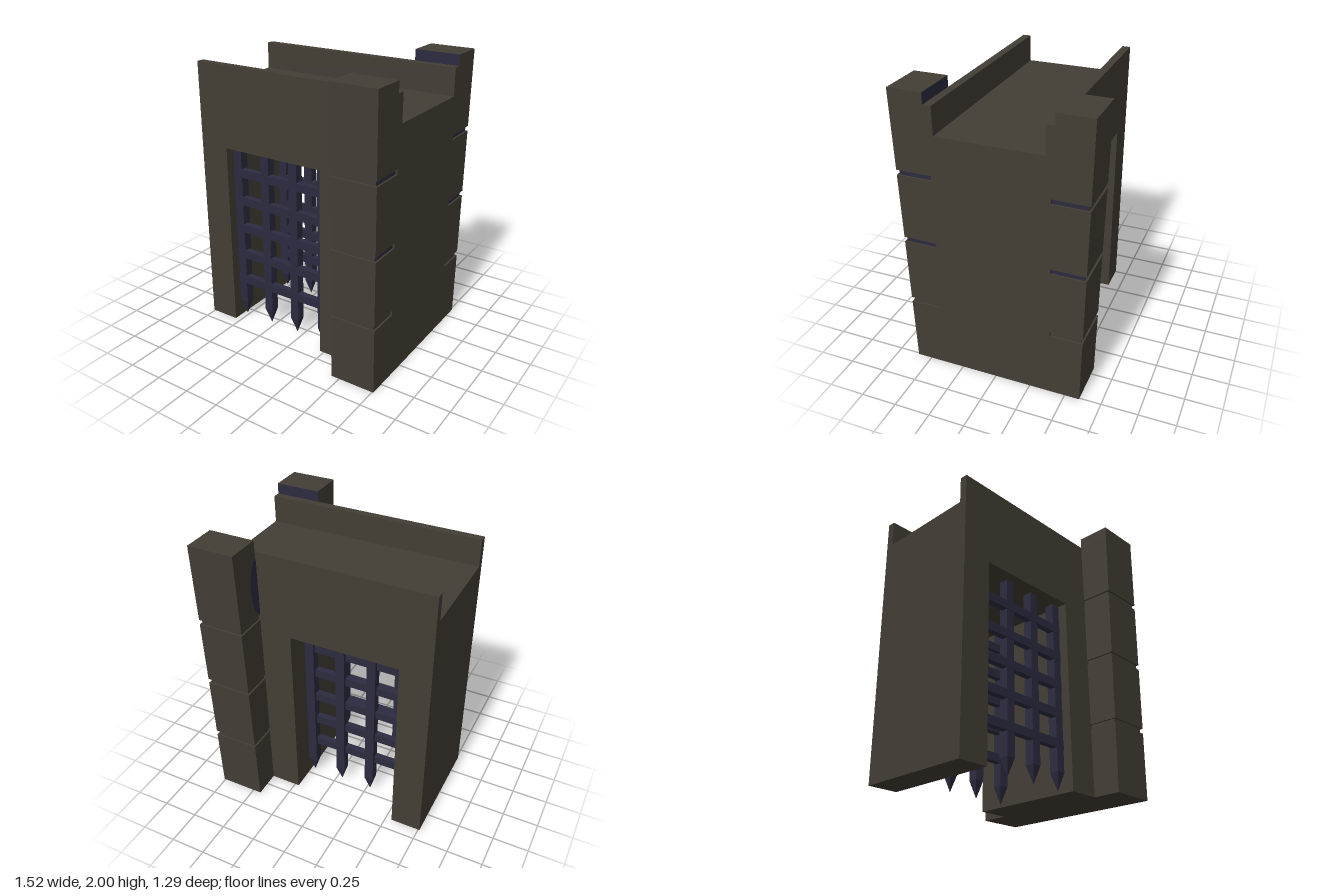
import * as THREE from 'three';

export function createModel() {
  const model = new THREE.Group();
  model.name = 'gatehouse';
  const stone = new THREE.MeshStandardMaterial({ color: 0x433d34 });
  stone.name = 'brown stone';
  const iron = new THREE.MeshStandardMaterial({ color: 0x2c2b40 });
  iron.name = 'blue iron';

  const add = (parent, name, geometry, material) => {
    const mesh = new THREE.Mesh(geometry, material);
    mesh.name = name;
    parent.add(mesh);
    return mesh;
  };
  // Box given by its two opposite corners
  const box = (x0, x1, y0, y1, z0, z1) =>
    new THREE.BoxGeometry(x1 - x0, y1 - y0, z1 - z0)
      .translate((x0 + x1) / 2, (y0 + y1) / 2, (z0 + z1) / 2);

  // Wall block with the gate opening cut through it
  const wall = new THREE.Shape([
    [-0.76, 0], [-0.545, 0], [-0.545, 1.35], [0.22, 1.35],
    [0.22, 0], [0.745, 0], [0.745, 1.735], [-0.76, 1.735],
  ].map(([x, y]) => new THREE.Vector2(x, y)));
  add(model, 'gateWall',
    new THREE.ExtrudeGeometry(wall, { depth: 0.82, bevelEnabled: false }).translate(0, 0, -0.41), stone);
  add(model, 'endWall', box(0.745, 0.76, 0, 1.735, -0.39, 0.39), stone);

  // Pier section whose outer face leans outward with height
  const section = (s, x0, x1, y0, y1, inner, inset = 0) => {
    const g = box(x0, x1, y0, y1, Math.min(s * inner, s * 0.6), Math.max(s * inner, s * 0.6));
    const p = g.attributes.position;
    for (let i = 0; i < p.count; i++) {
      if (Math.abs(p.getZ(i)) > 0.5) p.setZ(i, s * (0.602 + 0.021 * p.getY(i) - inset));
    }
    g.computeVertexNormals();
    return g;
  };

  for (const s of [1, -1]) {
    const side = s > 0 ? 'front' : 'back';
    add(model, side + 'Parapet',
      box(-0.76, 0.76, 1.735, 1.925, Math.min(s * 0.355, s * 0.41), Math.max(s * 0.355, s * 0.41)), stone);

    // Pier: four blocks separated by shallow grooves
    const pier = new THREE.Group();
    pier.name = side + 'Pier';
    model.add(pier);
    const blocks = [[0, 0.465], [0.5, 0.945], [0.98, 1.43], [1.465, 1.925]];
    blocks.forEach(([y0, y1], i) => {
      add(pier, 'pierBlock', section(s, 0.44, 0.76, y0, y1, 0.39), stone);
      if (i === 0) return;
      const faces = Array(6).fill(stone);
      if (i > 1) faces[0] = iron;
      add(pier, 'pierGroove', section(s, 0.452, 0.747, blocks[i - 1][1], y0, 0.38, 0.013), faces);
    });
    // Cap with a dark inner face
    const capFaces = Array(6).fill(stone);
    capFaces[s > 0 ? 5 : 4] = iron;
    add(pier, 'pierCap', section(s, 0.44, 0.76, 1.925, 2, 0.41), capFaces);
  }

  // Dark curved patch on the side of the back pier
  const patch = add(model, 'pierPatch',
    new THREE.CircleGeometry(0.2, 16, -Math.PI / 2, Math.PI).scale(0.4, 1, 1).rotateY(-Math.PI / 2), iron);
  patch.position.set(0.437, 1.68, -0.41);
  patch.rotation.x = Math.PI;
  patch.material = iron;

  // Two portcullises
  for (const [name, z] of [['frontPortcullis', 0.31], ['backPortcullis', -0.2]]) {
    const grate = new THREE.Group();
    grate.name = name;
    grate.position.z = z;
    model.add(grate);
    for (let i = 0; i < 4; i++) {
      const x = -0.51 + i * 0.2325;
      add(grate, 'uprightBar', box(x - 0.0325, x + 0.0325, 0.13, 1.35, -0.0325, 0.0325), iron);
      const spike = new THREE.CylinderGeometry(0.0325 * Math.SQRT2, 0, 0.12, 4).toNonIndexed();
      spike.rotateY(Math.PI / 4);
      spike.computeVertexNormals();
      spike.translate(x, 0.07, 0);
      add(grate, 'spike', spike, iron);
    }
    for (let i = 0; i < 5; i++) {
      const y = 0.32 + i * 0.21;
      add(grate, 'crossBar', box(-0.545, 0.22, y - 0.03, y + 0.03, -0.01, 0.036), iron);
    }
  }
  return model;
}
